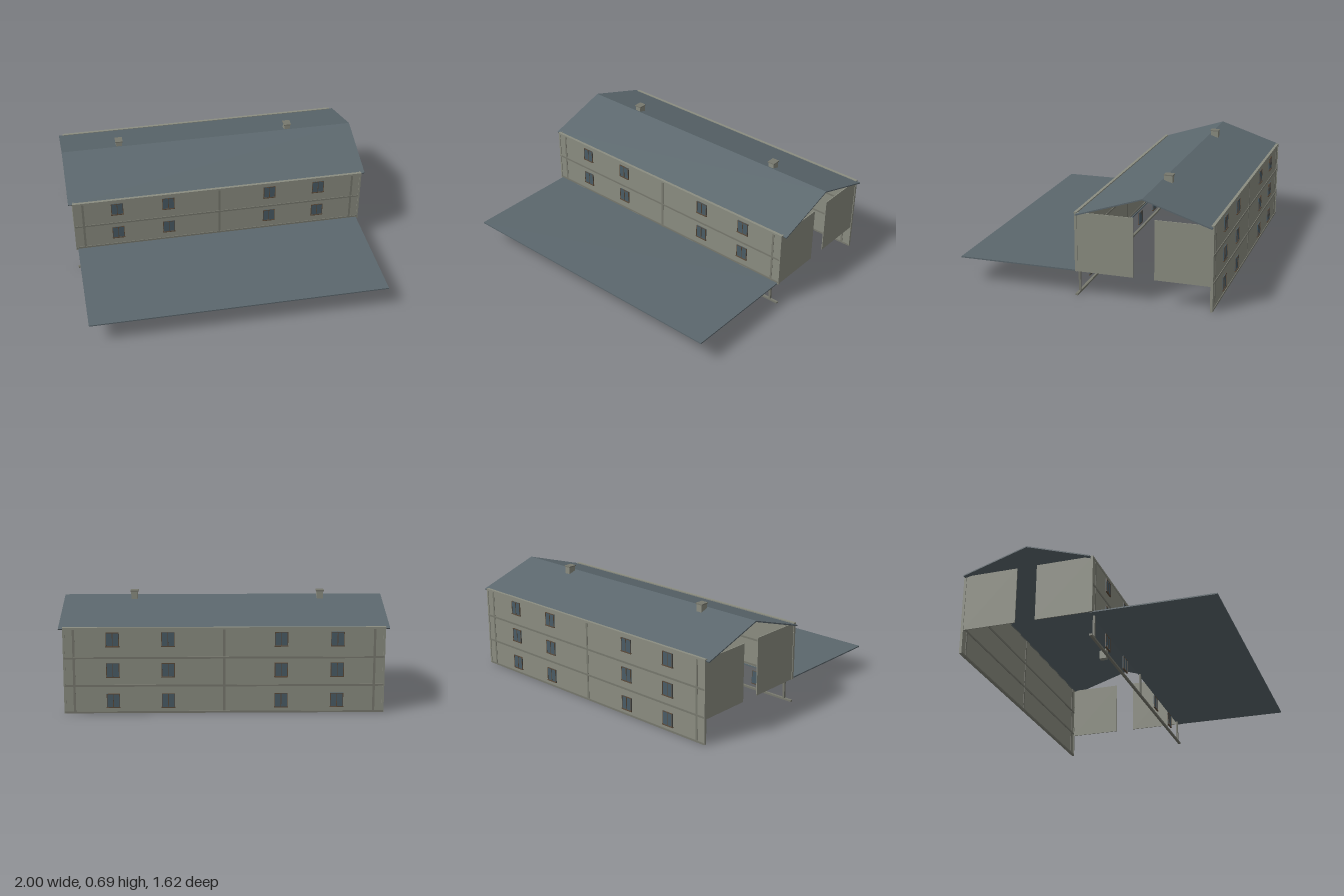
import * as THREE from 'three';

const mat = (color) => new THREE.MeshStandardMaterial({ color, side: THREE.DoubleSide, flatShading: true });
const WALL = mat(0x8b8d81), TRIM = mat(0x77786e), ROOF = mat(0x5b676d), GLASS = mat(0x4a5c66), FRAME = mat(0x5a4a3a);

// Box given by its minimum and maximum on each axis
function box(parent, name, m, x0, x1, y0, y1, z0, z1) {
  const mesh = new THREE.Mesh(new THREE.BoxGeometry(x1 - x0, y1 - y0, z1 - z0), m);
  mesh.position.set((x0 + x1) / 2, (y0 + y1) / 2, (z0 + z1) / 2);
  mesh.name = name;
  parent.add(mesh);
  return mesh;
}

// Two-pane window, outer side towards +z
function makeWindow() {
  const g = new THREE.Group();
  g.name = 'window';
  const w = 0.04, h = 0.043, t = 0.004;
  box(g, 'glass', GLASS, -w, w, -h, h, -0.002, 0.003);
  for (const x of [-w, -t / 2, w - t]) box(g, 'windowUpright', FRAME, x, x + t, -h, h, -0.002, 0.005);
  box(g, 'windowHead', FRAME, -w, w, h - t, h, -0.002, 0.005);
  box(g, 'windowSill', FRAME, -w - 0.002, w + 0.002, -h - t, -h + t / 2, -0.002, 0.007);
  return g;
}

// Long facade lying in z = 0, outer side towards +z
function makeFacade(name, wallBottom) {
  const g = new THREE.Group();
  g.name = name;
  const L = 0.965;
  box(g, 'wall', WALL, -L, L, wallBottom, 0.525, -0.004, 0.004);
  // floor bands, foot beam and eaves strip
  for (const y of [0.006, 0.172, 0.345]) box(g, 'floorBand', TRIM, -0.97, 0.97, y - 0.006, y + 0.006, -0.008, 0.008);
  box(g, 'eavesStrip', WALL, -0.975, 0.975, 0.52, 0.533, -0.009, 0.009);
  // posts
  for (const x of [-0.91, 0, 0.91]) box(g, 'post', TRIM, x - 0.007, x + 0.007, 0, 0.525, -0.007, 0.006);
  for (const s of [-1, 1]) box(g, 'cornerPost', WALL, s * 0.968 - 0.006, s * 0.968 + 0.006, wallBottom, 0.53, -0.008, 0.008);
  // three storeys of windows
  for (const x of [-0.685, -0.345, 0.34, 0.675])
    for (const y of [0.08, 0.27, 0.46]) {
      const win = makeWindow();
      win.position.set(x, y, 0.006);
      g.add(win);
    }
  return g;
}

export function createModel() {
  const model = new THREE.Group();
  model.name = 'building';

  // Facades: the front is open at ground level, the back is closed
  const front = makeFacade('frontFacade', 0.157);
  front.position.z = 0.041;
  const back = makeFacade('backFacade', 0);
  back.position.z = -0.797;
  back.scale.z = -1; // mirrored so the windows keep their x positions
  model.add(front, back);

  // End walls, each in two panels with a gap between
  for (const s of [-1, 1]) {
    const x = s * 0.967;
    box(model, 'endWallFront', WALL, x - 0.003, x + 0.003, 0.157, 0.53, -0.318, 0.048);
    box(model, 'endWallBack', WALL, x - 0.003, x + 0.003, 0.157, 0.53, -0.795, -0.448);
  }

  // Thin gabled roof, open at the ends
  const profile = new THREE.Shape([
    [0.033, 0.518], [-0.381, 0.653], [-0.798, 0.518],
    [-0.801, 0.525], [-0.381, 0.661], [0.036, 0.525],
  ].map(([z, y]) => new THREE.Vector2(-z, y)));
  const roofGeo = new THREE.ExtrudeGeometry(profile, { depth: 2, bevelEnabled: false });
  roofGeo.rotateY(Math.PI / 2);
  roofGeo.translate(-1, 0, 0);
  const roof = new THREE.Mesh(roofGeo, ROOF);
  roof.name = 'roof';
  model.add(roof);

  // Chimneys
  for (const x of [-0.61, 0.56]) {
    box(model, 'chimney', WALL, x - 0.02, x + 0.02, 0.573, 0.69, -0.443, -0.391);
    box(model, 'chimneyCap', TRIM, x - 0.025, x + 0.025, 0.687, 0.694, -0.446, -0.388);
  }

  // Flat canopy in front
  box(model, 'canopy', ROOF, -0.962, 0.962, 0.154, 0.162, 0.03, 0.808);
  return model;
}
